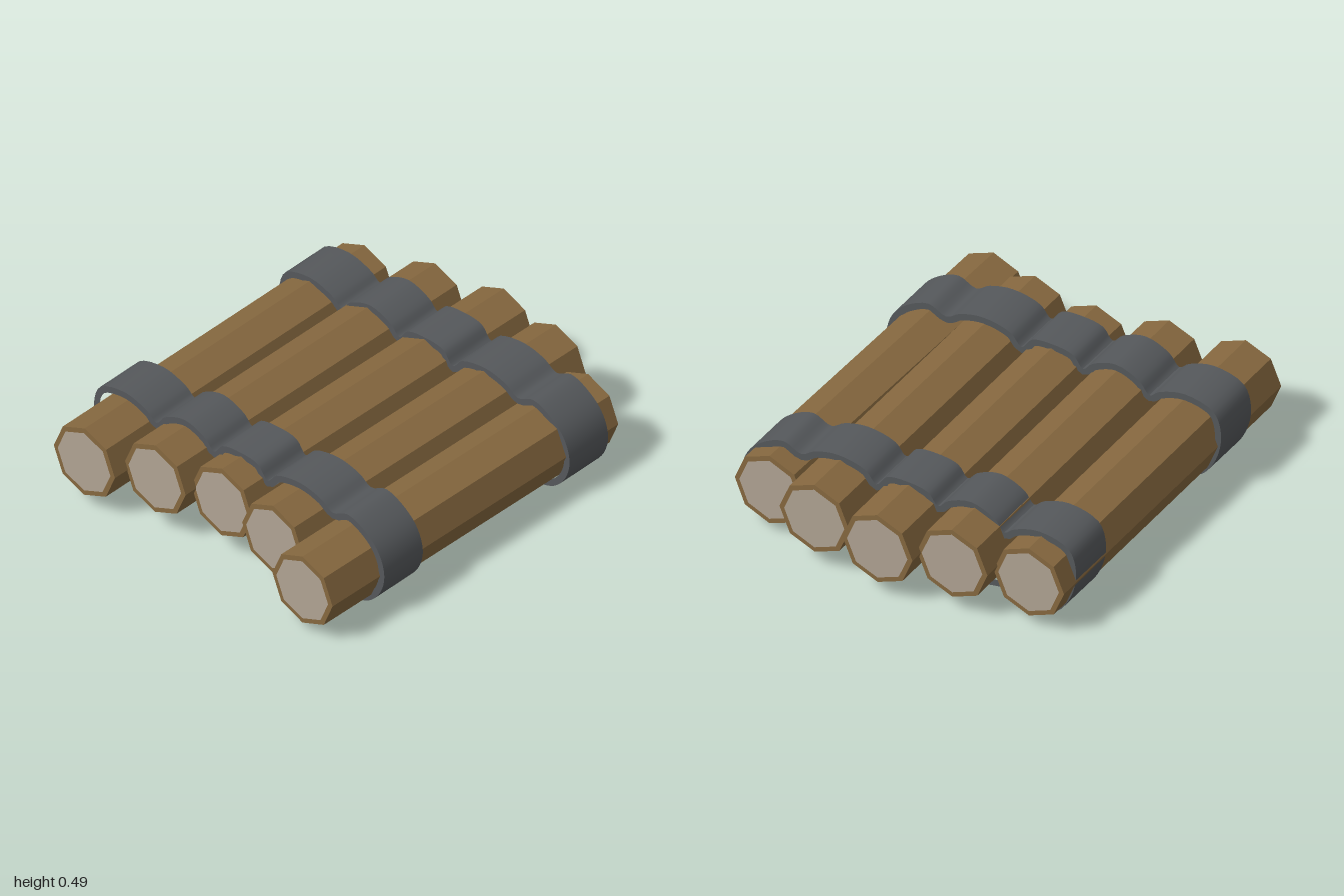
import * as THREE from 'three';
import { toCreasedNormals } from 'three/addons/utils/BufferGeometryUtils.js';

const wood = new THREE.MeshStandardMaterial({ color: 0x86683f, flatShading: true });
const cutWood = new THREE.MeshStandardMaterial({ color: 0xb0a393, flatShading: true });
const strapGrey = new THREE.MeshStandardMaterial({ color: 0x55585b });

const RADIUS = 0.18;

function mesh(name, geometry, material) {
  const m = new THREE.Mesh(geometry, material);
  m.name = name;
  return m;
}

// Eight-sided log running between two end centres, with a pale cut face at each end
function createLog(front, back) {
  const log = new THREE.Group();
  log.name = 'log';
  const length = front.distanceTo(back);
  log.add(mesh('bark', new THREE.CylinderGeometry(RADIUS, RADIUS, length, 8).rotateX(Math.PI / 2), wood));
  for (const side of [1, -1]) {
    const face = mesh('cutEnd', new THREE.CircleGeometry(0.155, 8), cutWood);
    face.position.z = side * (length / 2 + 0.002);
    if (side < 0) face.rotation.y = Math.PI;
    log.add(face);
  }
  log.position.copy(front).add(back).multiplyScalar(0.5);
  log.lookAt(front);
  return log;
}

// Outer outline of a strap, clockwise from the left end
const STRAP_OUTLINE = [
  [-0.868, 0.31], [-0.83, 0.42], [-0.68, 0.462], [-0.55, 0.425], [-0.5, 0.39], [-0.45, 0.445],
  [-0.33, 0.49], [-0.21, 0.45], [-0.16, 0.405], [-0.11, 0.46], [0, 0.478], [0.1, 0.465],
  [0.155, 0.405], [0.21, 0.46], [0.35, 0.49], [0.47, 0.465], [0.54, 0.425], [0.63, 0.46],
  [0.745, 0.41], [0.815, 0.335], [0.845, 0.23], [0.82, 0.13], [0.755, 0.055], [0.65, 0.025],
  [0.55, 0.06], [0.48, 0.075], [0.36, 0.068], [0.24, 0.11], [0.17, 0.125], [0.1, 0.09],
  [0, 0.07], [-0.11, 0.11], [-0.165, 0.14], [-0.23, 0.095], [-0.34, 0.07], [-0.46, 0.09],
  [-0.53, 0.095], [-0.57, 0.055], [-0.66, 0.03], [-0.77, 0.07], [-0.84, 0.17],
];

// Flat band extruded along z between the outline and its inward offset
function createStrap(name, x, y, z) {
  const curve = new THREE.CatmullRomCurve3(
    STRAP_OUTLINE.map(([px, py]) => new THREE.Vector3(px, py, 0)), true);
  const outer = [];
  const inner = [];
  const steps = 164;
  for (let i = 0; i < steps; i++) {
    const p = curve.getPoint(i / steps);
    const t = curve.getTangent(i / steps);
    outer.push(new THREE.Vector2(p.x, p.y));
    inner.push(new THREE.Vector2(p.x + t.y * 0.032, p.y - t.x * 0.032));
  }
  const shape = new THREE.Shape(outer);
  shape.holes.push(new THREE.Path(inner));
  const band = new THREE.ExtrudeGeometry(shape, { depth: 0.25, bevelEnabled: false });
  const strap = mesh(name, toCreasedNormals(band, 0.7), strapGrey);
  strap.position.set(x, y, z);
  return strap;
}

export function createModel() {
  const raft = new THREE.Group();
  raft.name = 'logRaft';

  // Front end centre, then back end centre
  const logs = [
    [[-0.67, 0.248, 0.975], [-0.675, 0.235, -0.845]],
    [[-0.33, 0.28, 0.89], [-0.335, 0.26, -0.93]],
    [[0, 0.28, 0.82], [0.005, 0.255, -1]],
    [[0.345, 0.28, 0.87], [0.355, 0.26, -0.955]],
    [[0.635, 0.22, 0.995], [0.665, 0.22, -0.825]],
  ];
  for (const [front, back] of logs) {
    raft.add(createLog(new THREE.Vector3(...front), new THREE.Vector3(...back)));
  }

  raft.add(createStrap('frontStrap', 0, 0, 0.445));
  raft.add(createStrap('backStrap', 0.015, -0.025, -0.74));
  return raft;
}
